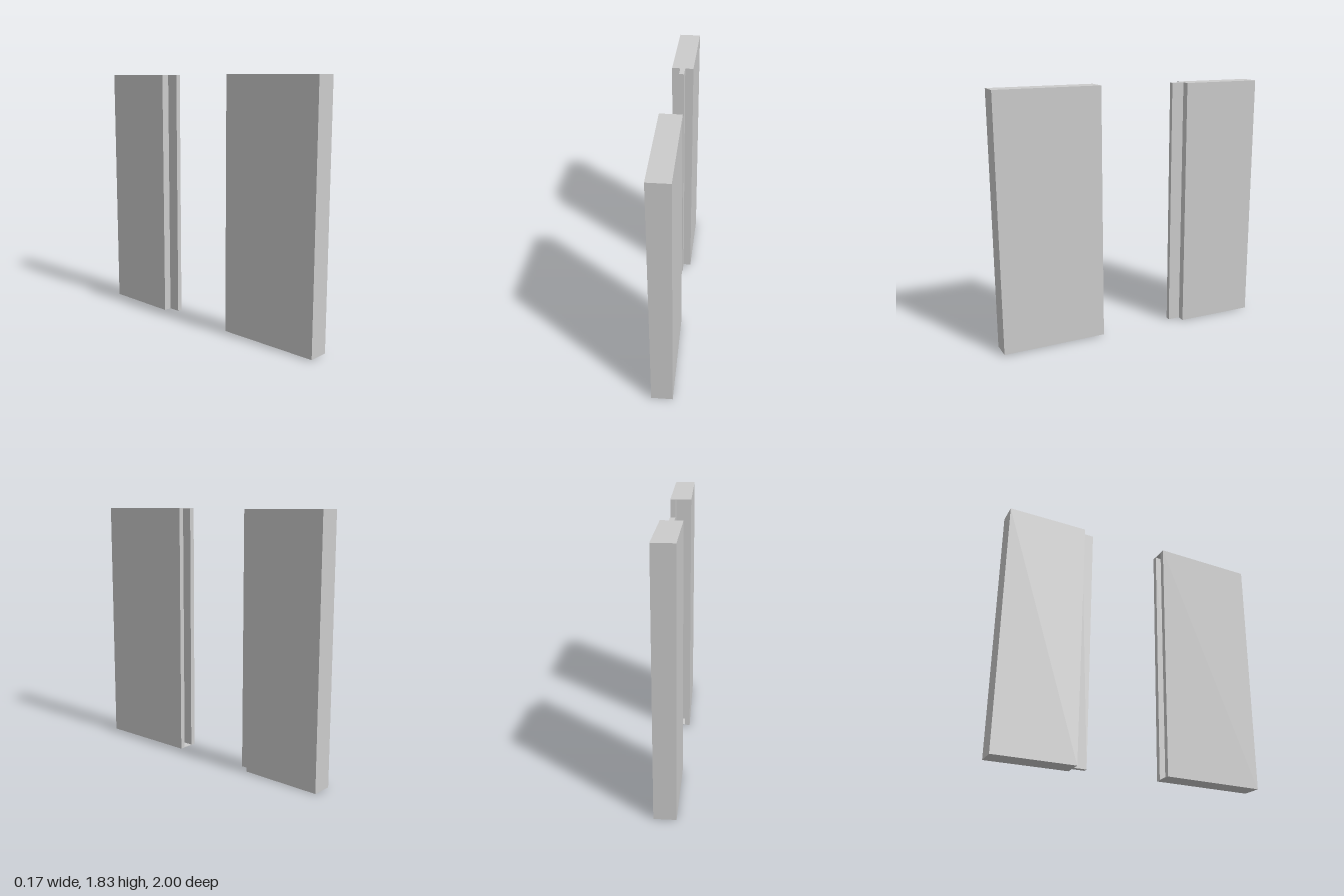
import * as THREE from 'three';

const HEIGHT = 1.82;
const HALF = 0.075; // half of the board thickness

const material = new THREE.MeshStandardMaterial({ color: 0xcccccc, flatShading: true });

// Upright board from a plan outline of [x, z] points
function board(name, outline) {
  const shape = new THREE.Shape(outline.map(([x, z]) => new THREE.Vector2(x, -z)));
  const geometry = new THREE.ExtrudeGeometry(shape, { depth: HEIGHT, bevelEnabled: false });
  geometry.rotateX(-Math.PI / 2);
  const mesh = new THREE.Mesh(geometry, material);
  mesh.name = name;
  return mesh;
}

export function createModel() {
  const model = new THREE.Group();
  model.name = 'tongueAndGrooveBoards';

  // Rear board with a narrow tongue along its front edge
  const tongue = 0.0175, shoulder = -0.42, tip = -0.33;
  model.add(board('tongueBoard', [
    [-HALF, -1], [-HALF, shoulder], [-tongue, shoulder], [-tongue, tip],
    [tongue, tip], [tongue, shoulder], [HALF, shoulder], [HALF, -1],
  ]));

  // Front board with a groove along its rear edge, turned slightly
  const groove = 0.0375, depth = 0.1, end = 0.378;
  const grooveBoard = new THREE.Group();
  grooveBoard.name = 'grooveBoard';
  grooveBoard.add(board('groovePanel', [
    [-HALF, -end], [-HALF, end], [HALF, end], [HALF, -end],
    [groove, -end], [groove, depth - end], [-groove, depth - end], [-groove, -end],
  ]));

  // Thin plates closing the groove at the bottom and top
  const plate = 0.004;
  for (const [name, y] of [['grooveFloor', plate / 2], ['grooveCeiling', HEIGHT - plate / 2]]) {
    const cap = new THREE.Mesh(new THREE.BoxGeometry(groove * 2, plate, depth), material);
    cap.name = name;
    cap.position.set(0, y, depth / 2 - end);
    grooveBoard.add(cap);
  }
  grooveBoard.position.set(-0.0025, 0.007, 0.62);
  grooveBoard.rotation.y = 0.02;
  model.add(grooveBoard);

  return model;
}
